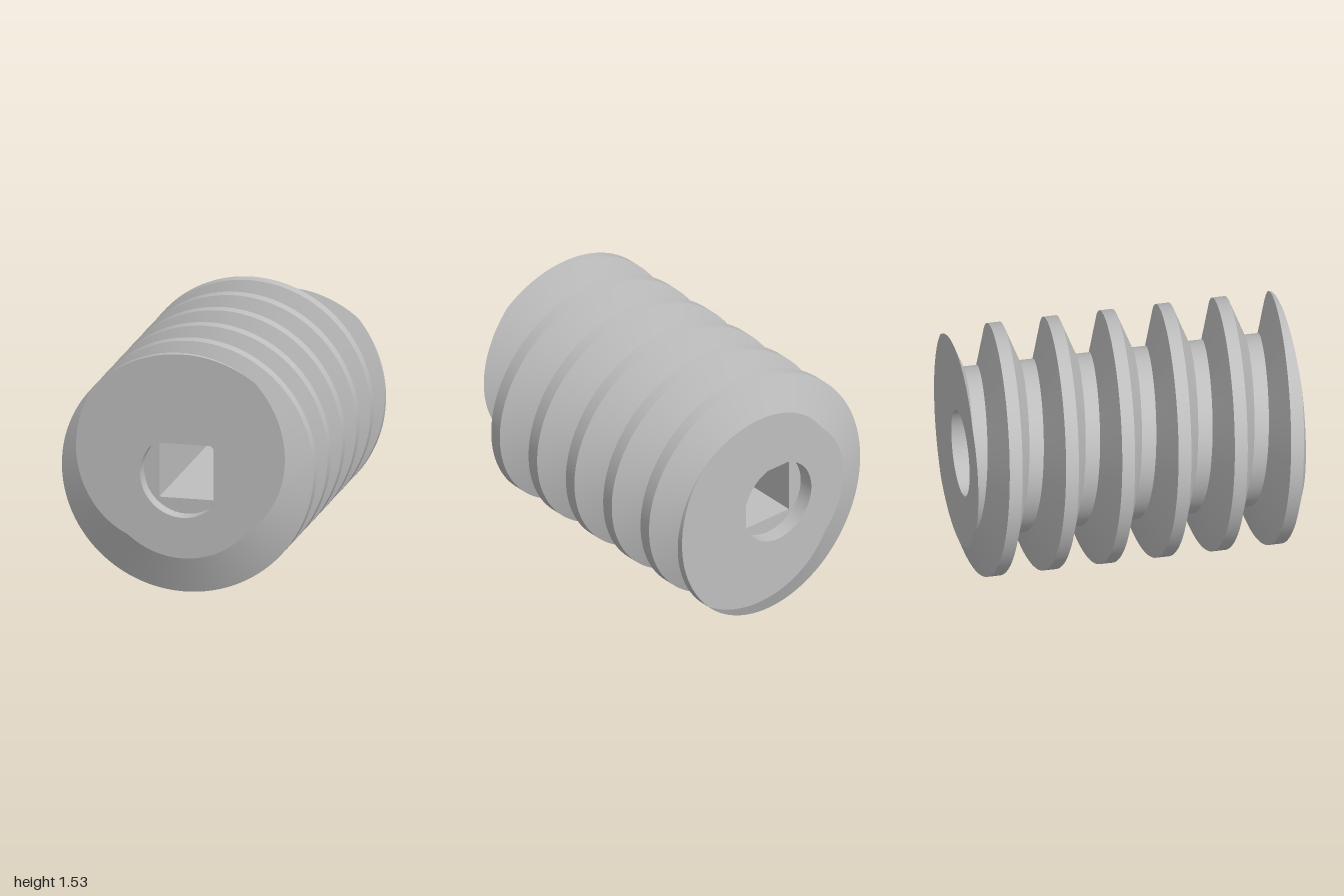
import * as THREE from 'three';

const TIP = 0.765, ROOT = 0.52;                  // thread radii
const PITCH = 0.349, CREST = 0.04, FLANK = 0.09; // half crest width, flank width
const PHASE = 0.045, HALF = 1, SEG = 180, TURNS = 4;
const RECESS = 0.265, DEPTH = 0.1, BORE = 0.17;
const TAU = Math.PI * 2;

// Radius of the thread at a height z and an angle a about the axis
function radiusAt(z, a) {
  const u = (z - PHASE) / PITCH + a / TAU;
  const d = Math.abs(u - Math.round(u)) * PITCH;
  return THREE.MathUtils.lerp(TIP, ROOT, THREE.MathUtils.clamp((d - CREST) / FLANK, 0, 1));
}

// Band between two edges; edge(a) gives [radius, z] at each angle
function band(edgeA, edgeB, start, end) {
  const n = Math.round((end - start) / TAU * SEG);
  const pos = [], index = [];
  for (let i = 0; i <= n; i++) {
    const a = start + (end - start) * i / n;
    for (const [r, z] of [edgeA(a), edgeB(a)]) pos.push(r * Math.cos(a), r * Math.sin(a), z);
    if (i < n) {
      const k = i * 2;
      index.push(k, k + 2, k + 3, k, k + 3, k + 1);
    }
  }
  const g = new THREE.BufferGeometry();
  g.setAttribute('position', new THREE.Float32BufferAttribute(pos, 3));
  g.setIndex(index);
  g.computeVertexNormals();
  return g;
}

export function createModel() {
  const steel = new THREE.MeshStandardMaterial({ color: 0xbfbfbf });
  const model = new THREE.Group();
  model.name = 'wormScrew';
  const body = new THREE.Group();
  body.name = 'screwBody';
  body.position.y = TIP;
  model.add(body);
  const add = (name, geometry) => {
    const mesh = new THREE.Mesh(geometry, steel);
    mesh.name = name;
    body.add(mesh);
    return mesh;
  };

  // Helical edge at an offset from the crest centre, cut off flat at both ends
  const helix = (offset) => (a) => {
    const full = PHASE + offset - PITCH * a / TAU;
    const z = THREE.MathUtils.clamp(full, -HALF, HALF);
    if (z !== full) return [radiusAt(z, a), z];
    const d = Math.abs(offset);
    return [d <= CREST + 1e-6 ? TIP : ROOT, z];
  };

  // Thread: flank, crest, flank and root swept along the helix
  const foot = CREST + FLANK;
  const strips = [
    ['backFlank', -foot, -CREST],
    ['threadCrest', -CREST, CREST],
    ['frontFlank', CREST, foot],
    ['threadRoot', foot, PITCH - foot],
  ];
  for (const [name, from, to] of strips) {
    add(name, band(helix(from), helix(to), -TURNS * TAU, TURNS * TAU));
  }

  // Recess floor: a disc with a square hole
  const floor = new THREE.Shape().absarc(0, 0, RECESS, 0, TAU);
  floor.holes.push(new THREE.Path([
    [-BORE, -BORE], [-BORE, BORE], [BORE, BORE], [BORE, -BORE],
  ].map(([x, y]) => new THREE.Vector2(x, y))));
  const floorGeometry = new THREE.ShapeGeometry(floor, 48);

  // Flat ends with round recesses
  for (const [side, s] of [['front', 1], ['back', -1]]) {
    const outer = (a) => [radiusAt(s * HALF, a), s * HALF];
    const rim = () => [RECESS, s * HALF];
    const inner = () => [RECESS, s * (HALF - DEPTH)];
    const [capA, capB] = s > 0 ? [outer, rim] : [rim, outer];
    add(side + 'End', band(capA, capB, 0, TAU));
    const [wallA, wallB] = s > 0 ? [rim, inner] : [inner, rim];
    add(side + 'RecessWall', band(wallA, wallB, 0, TAU));
    const disc = add(side + 'RecessFloor', floorGeometry);
    disc.position.z = s * (HALF - DEPTH);
    if (s < 0) disc.rotation.y = Math.PI;
  }

  // Square drive bore, its four walls facing the axis
  for (let i = 0; i < 4; i++) {
    const wall = new THREE.PlaneGeometry(2 * (HALF - DEPTH), 2 * BORE);
    wall.rotateY(Math.PI / 2).translate(-BORE, 0, 0).rotateZ(i * Math.PI / 2);
    add('boreWall' + (i + 1), wall);
  }
  return model;
}
